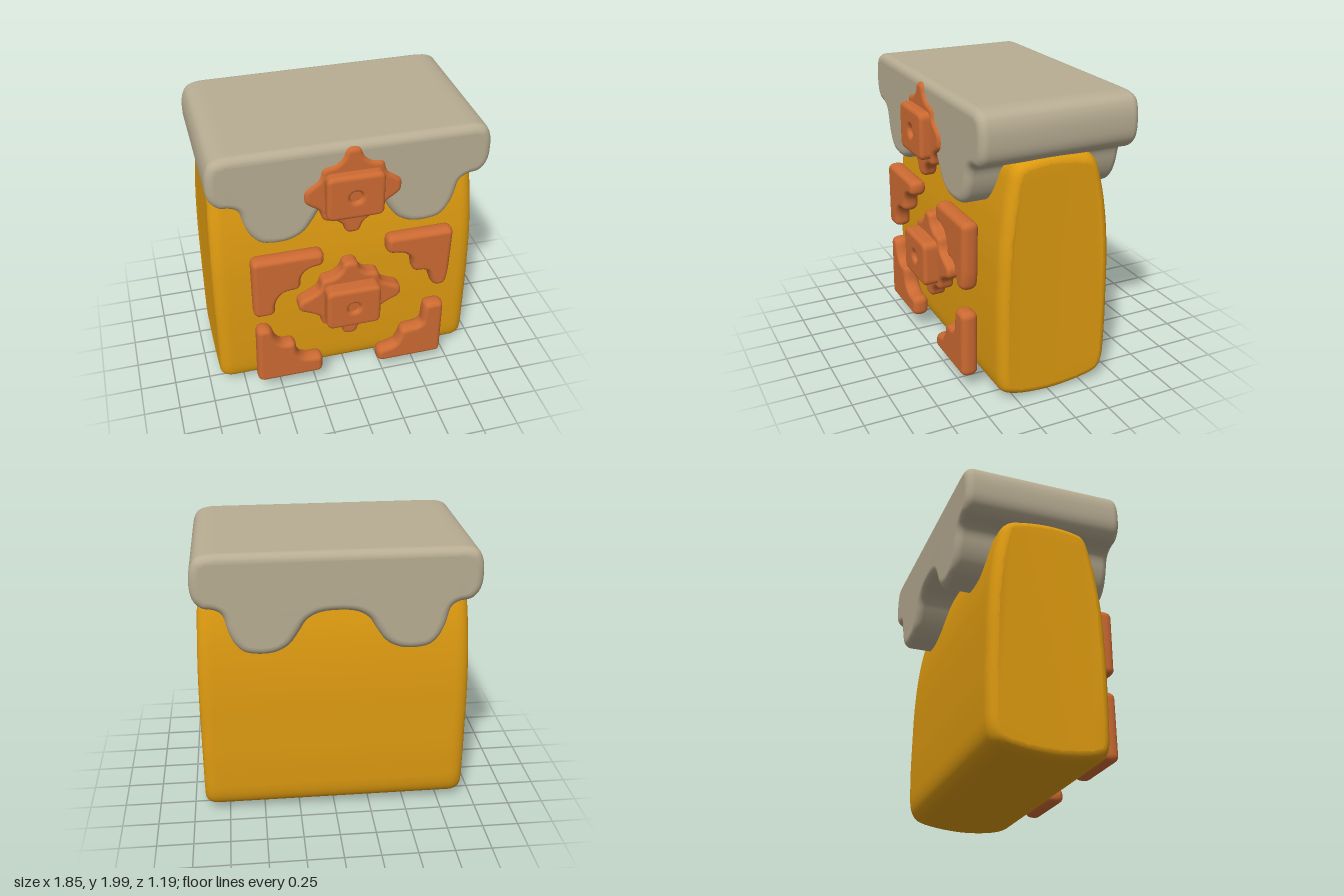
import * as THREE from 'three';
import { mergeVertices } from 'three/addons/utils/BufferGeometryUtils.js';

const gold = new THREE.MeshStandardMaterial({ color: 0xdd9a10 });
const stone = new THREE.MeshStandardMaterial({ color: 0xb8ad93 });
const copper = new THREE.MeshStandardMaterial({ color: 0xcc6a32 });

// Closed outline whose corners are rounded by up to r
function outline(points, r) {
  const p = points.map(([x, y]) => new THREE.Vector2(x, y));
  const shape = new THREE.Shape();
  p.forEach((c, i) => {
    const towards = (q) => c.clone().lerp(q, Math.min(r / c.distanceTo(q), 0.45));
    const a = towards(p[(i + p.length - 1) % p.length]);
    const b = towards(p[(i + 1) % p.length]);
    if (i === 0) shape.moveTo(a.x, a.y);
    else shape.lineTo(a.x, a.y);
    shape.quadraticCurveTo(c.x, c.y, b.x, b.y);
  });
  shape.closePath();
  return shape;
}

// Smooth, soft-edged slab from z0 to z1; the outline stays its full size
function slab(shape, z0, z1, bevel, { thickness = bevel, steps = 1 } = {}) {
  const g = new THREE.ExtrudeGeometry(shape, {
    depth: z1 - z0 - 2 * thickness, steps, curveSegments: 6,
    bevelSize: bevel, bevelThickness: thickness, bevelOffset: -bevel, bevelSegments: 6,
  });
  g.translate(0, 0, z0 + thickness);
  return g;
}

function smooth(g) {
  g.deleteAttribute('normal');
  g.deleteAttribute('uv');
  const merged = mergeVertices(g, 1e-4);
  merged.computeVertexNormals();
  return merged;
}

function part(name, geometry, material) {
  const mesh = new THREE.Mesh(geometry, material);
  mesh.name = name;
  return mesh;
}

// Side profile (backward, up) swept across the width, tapering to the top
function makeBody() {
  const profile = [
    [-0.375, 0.4], [-0.37, 0.12], [-0.33, 0.055], [-0.2, 0.02], [0, 0.004], [0.2, 0.02],
    [0.37, 0.055], [0.425, 0.15], [0.432, 0.45], [0.425, 0.9], [0.41, 1.15], [0.38, 1.38],
    [0.32, 1.63], [0.15, 1.665], [0, 1.678], [-0.15, 1.665], [-0.27, 1.63], [-0.33, 1.33],
    [-0.362, 1.05], [-0.375, 0.7],
  ];
  const g = slab(outline(profile, 0.1), -0.92, 0.92, 0.06, { thickness: 0.09, steps: 32 });
  g.rotateY(Math.PI / 2);
  const pos = g.attributes.position;
  for (let i = 0; i < pos.count; i++) {
    const x = pos.getX(i), y = pos.getY(i);
    pos.setX(i, x * (1 - 0.035 * Math.max(0, (y - 0.8) / 0.87) ** 2));
    if (Math.abs(x) < 0.78 && y < 0.02) pos.setY(i, 0.02); // raised middle of the underside
  }
  return part('body', smooth(g), gold);
}

// Dripping lid: half profile mirrored, extruded front to back
function makeLid() {
  const half = [
    [0.1, 1.6], [0.2, 1.55], [0.25, 1.46], [0.31, 1.37], [0.4, 1.322], [0.5, 1.314],
    [0.6, 1.33], [0.66, 1.39], [0.7, 1.48], [0.725, 1.6], [0.78, 1.634], [0.86, 1.64],
    [0.925, 1.72], [0.925, 1.9], [0.87, 2],
  ];
  const mirrored = half.map(([x, y]) => [-x, y]).reverse();
  return part('lid', smooth(slab(outline([...half, ...mirrored], 0.12), -0.59, 0.51, 0.055)), stone);
}

// Four-pointed star plate with a raised, dimpled square boss
function makeMedallion(name, y, sideReach, z0, z1) {
  const group = new THREE.Group();
  group.name = name;
  const quarter = [
    [sideReach, 0.04], [0.28, 0.075], [0.215, 0.115], [0.2, 0.2], [0.12, 0.205],
    [0.065, 0.25], [0.045, 0.32],
  ];
  const flip = (pts, sx, sy) => pts.map(([a, b]) => [a * sx, b * sy]);
  const star = [
    ...quarter, ...flip(quarter, -1, 1).reverse(),
    ...flip(quarter, -1, -1), ...flip(quarter, 1, -1).reverse(),
  ];
  group.add(part('starPlate', smooth(slab(outline(star, 0.04), z0, z1, 0.03)), copper));

  const square = outline([[-0.19, -0.16], [0.19, -0.16], [0.19, 0.16], [-0.19, 0.16]], 0.05);
  square.holes.push(new THREE.Path().absarc(0, 0, 0.04, 0, Math.PI * 2, true));
  group.add(part('boss', smooth(slab(square, z1 - 0.06, 0.6, 0.028)), copper));

  const floor = new THREE.CylinderGeometry(0.05, 0.05, 0.05, 24);
  floor.rotateX(Math.PI / 2).translate(0, 0, 0.545);
  group.add(part('dimpleFloor', floor, copper));
  group.position.y = y;
  return group;
}

// Stepped corner plates, each hand-cut a little differently
const corners = {
  cornerTopRight: [
    [-0.68, 1.21], [-0.19, 1.21], [-0.19, 1.1], [-0.3, 1.09], [-0.35, 1.03], [-0.35, 0.93],
    [-0.48, 0.92], [-0.53, 0.84], [-0.53, 0.74], [-0.68, 0.735],
  ],
  cornerTopLeft: [
    [0.24, 1.235], [0.71, 1.235], [0.7, 0.87], [0.68, 0.755], [0.585, 0.755], [0.54, 0.91],
    [0.43, 0.91], [0.42, 1.03], [0.36, 1.09], [0.24, 1.1],
  ],
  cornerBottomRight: [
    [-0.67, 0.62], [-0.57, 0.62], [-0.54, 0.51], [-0.49, 0.455], [-0.4, 0.46], [-0.39, 0.34],
    [-0.33, 0.285], [-0.205, 0.285], [-0.205, 0.135], [-0.68, 0.135],
  ],
  cornerBottomLeft: [
    [0.55, 0.59], [0.685, 0.59], [0.685, 0.115], [0.2, 0.115], [0.2, 0.225], [0.33, 0.25],
    [0.36, 0.31], [0.38, 0.39], [0.53, 0.4], [0.535, 0.53],
  ],
};

export function createModel() {
  const model = new THREE.Group();
  model.name = 'chest';
  model.add(makeBody(), makeLid());
  model.add(makeMedallion('lidMedallion', 1.655, 0.32, 0.43, 0.53));
  model.add(makeMedallion('bodyMedallion', 0.74, 0.365, 0.385, 0.5));
  for (const [name, points] of Object.entries(corners)) {
    points.reverse();
    model.add(part(name, smooth(slab(outline(points, 0.05), 0.42, 0.535, 0.035, { thickness: 0.05 })), copper));
  }
  return model;
}
